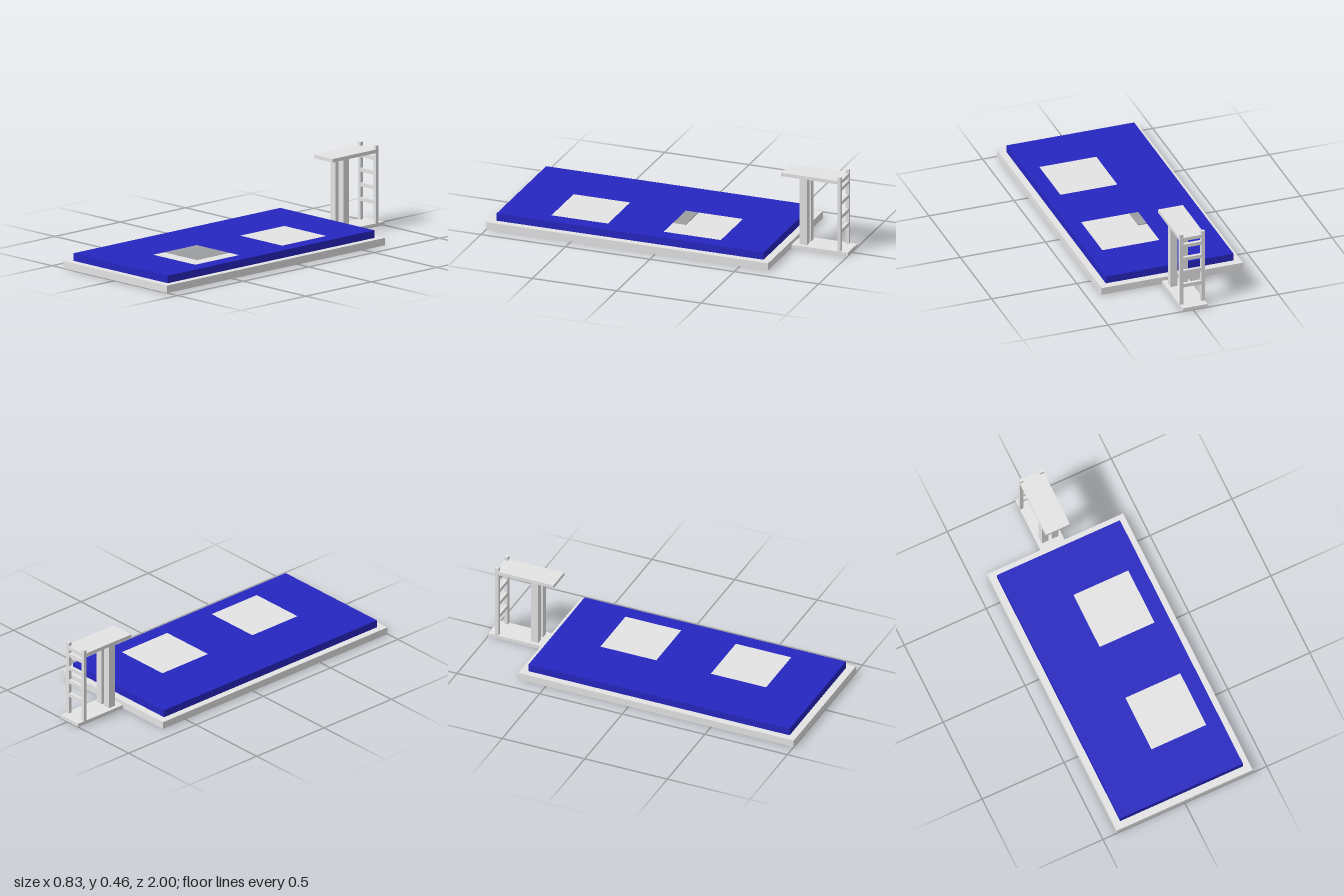
import * as THREE from 'three';

const grey = new THREE.MeshStandardMaterial({ color: 0xe4e4e4, side: THREE.DoubleSide });
grey.name = 'light grey';
const blue = new THREE.MeshStandardMaterial({ color: 0x2626c1, side: THREE.DoubleSide });
blue.name = 'deep blue';

// Rectangle outline in plan, from x and z limits (shape y is -z)
function trace(path, [x0, x1, z0, z1]) {
  path.moveTo(x0, -z1);
  path.lineTo(x1, -z1);
  path.lineTo(x1, -z0);
  path.lineTo(x0, -z0);
  path.closePath();
  return path;
}

function add(parent, name, geometry, material) {
  const mesh = new THREE.Mesh(geometry, material);
  mesh.name = name;
  parent.add(mesh);
  return mesh;
}

// Box given by its limits on each axis
function box(parent, name, [x0, x1], [y0, y1], [z0, z1]) {
  const mesh = add(parent, name, new THREE.BoxGeometry(x1 - x0, y1 - y0, z1 - z0), grey);
  mesh.position.set((x0 + x1) / 2, (y0 + y1) / 2, (z0 + z1) / 2);
}

// Flat sheet with holes, lying at height y
function sheet(parent, name, outer, holes, y, material) {
  const shape = trace(new THREE.Shape(), outer);
  for (const h of holes) shape.holes.push(trace(new THREE.Path(), h));
  const geometry = new THREE.ShapeGeometry(shape).rotateX(-Math.PI / 2);
  add(parent, name, geometry, material).position.y = y;
}

// Four thin upright walls around a rectangle
function walls(parent, name, [x0, x1, z0, z1], y0, y1, material) {
  const midX = (x0 + x1) / 2, midZ = (z0 + z1) / 2;
  const sides = [
    [x1 - x0, midX, z1, 0], [x1 - x0, midX, z0, Math.PI],
    [z1 - z0, x1, midZ, Math.PI / 2], [z1 - z0, x0, midZ, -Math.PI / 2],
  ];
  for (const [length, x, z, turn] of sides) {
    const wall = add(parent, name, new THREE.PlaneGeometry(length, y1 - y0), material);
    wall.position.set(x, (y0 + y1) / 2, z);
    wall.rotation.y = turn;
  }
}

export function createModel() {
  const model = new THREE.Group();
  model.name = 'divingPool';

  const outer = [-0.415, 0.415, -0.667, 1];
  const inner = [-0.375, 0.375, -0.624, 0.957];
  const rimY = 0.042, topY = 0.085;

  // Hollow base: floor with one square opening, sides and a rim on top
  const pool = new THREE.Group();
  pool.name = 'pool';
  model.add(pool);
  sheet(pool, 'baseFloor', outer, [[-0.375, -0.045, 0, 0.33]], 0, grey);
  walls(pool, 'baseSide', outer, 0, rimY, grey);
  sheet(pool, 'baseRim', outer, [inner], rimY, grey);

  // Open-bottomed water block with two square openings in its surface
  sheet(pool, 'waterSurface', inner,
    [[-0.045, 0.29, -0.338, 0], [-0.045, 0.29, 0.33, 0.665]], topY, blue);
  walls(pool, 'waterSide', inner, rimY, topY, blue);

  // Diving platform behind the pool
  const tower = new THREE.Group();
  tower.name = 'divingTower';
  model.add(tower);
  const left = 0.061, right = -0.085;
  const postZ = [-0.957, -0.938];
  box(tower, 'footing', [right, left], [0, 0.02], [-1, -0.667]);
  box(tower, 'platform', [right, left], [0.418, 0.438], [-0.957, -0.605]);
  for (const x of [[-0.062, -0.022], [0, 0.04]]) {
    box(tower, 'supportColumn', x, [0.02, 0.418], [-0.75, -0.707]);
  }

  // Ladder
  for (const x of [[right, right + 0.021], [left - 0.021, left]]) {
    box(tower, 'ladderPost', x, [0.02, 0.459], postZ);
  }
  for (let i = 0; i < 4; i++) {
    const y = 0.126 + i * 0.083;
    box(tower, 'ladderRung', [right + 0.021, left - 0.021], [y, y + 0.021], postZ);
  }
  return model;
}
